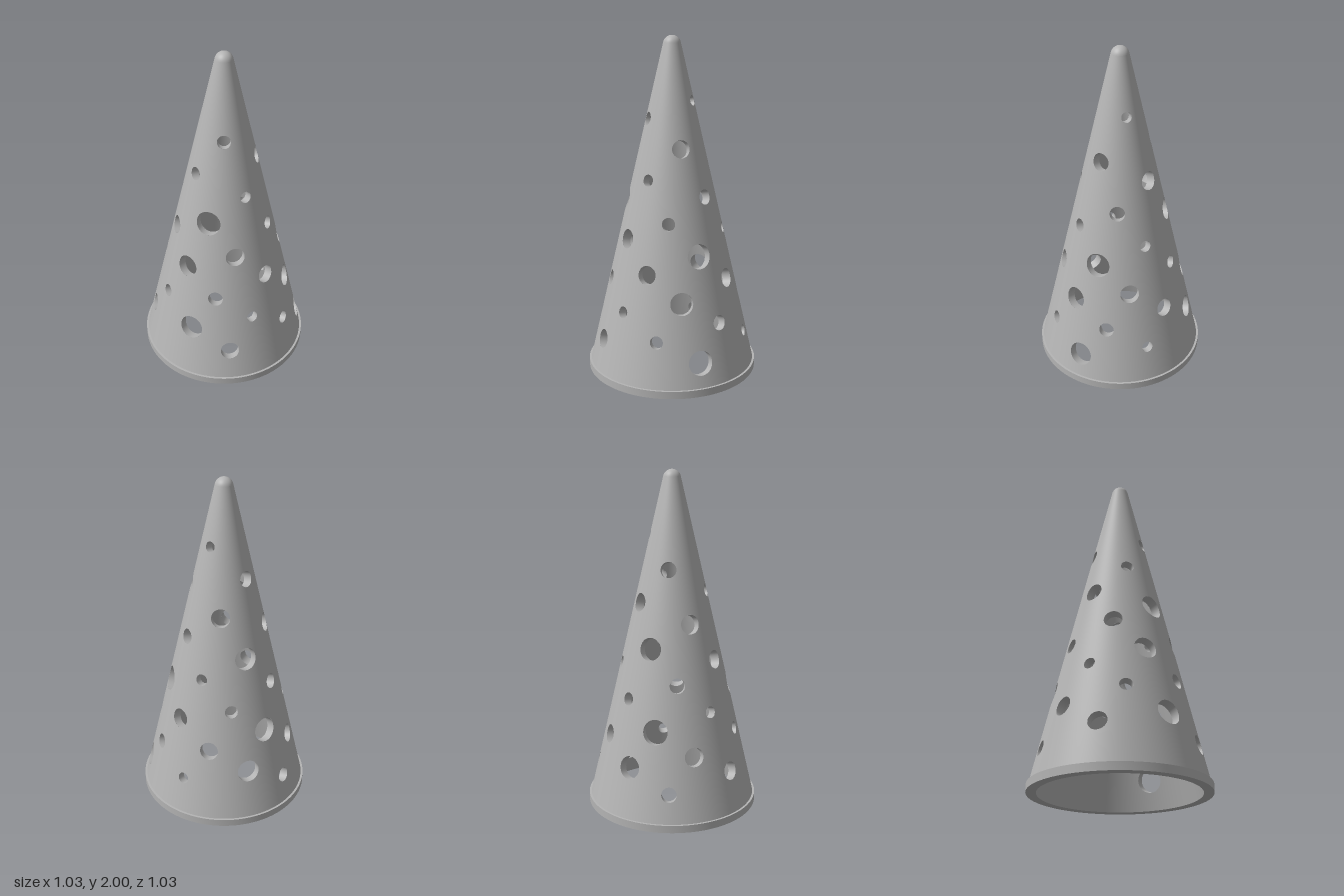
import * as THREE from 'three';
import { toCreasedNormals } from 'three/addons/utils/BufferGeometryUtils.js';

const BASE_Y = 0.045, TIP_Y = 1.96, SLOPE = 0.235, R0 = 0.5106, WALL = 0.055;
const COS = 1 / Math.hypot(1, SLOPE), SIN = SLOPE * COS;
const radiusAt = (y, inset) => Math.max(R0 - inset - SLOPE * y, 0);
const conePoint = (a, y, inset) => {
  const r = radiusAt(y, inset);
  return new THREE.Vector3(r * Math.cos(a), y, r * Math.sin(a));
};
const coneNormal = (a) => new THREE.Vector3(COS * Math.cos(a), SIN, COS * Math.sin(a));

// Holes spiral upward by the golden angle, evenly by area, in seven repeating sizes
const SIZES = [0.072, 0.044, 0.056, 0.034, 0.054, 0.038, 0.066];
const COUNT = 38;
const holes = Array.from({ length: COUNT }, (_, i) => {
  const k = 0.201, t = i / (COUNT - 1);
  const y = 2 - 1.815 * Math.sqrt(1 - t * (1 - k * k));
  const a = -i * Math.PI * (3 - Math.sqrt(5));
  const n = coneNormal(a);
  const u = new THREE.Vector3(-Math.sin(a), 0, Math.cos(a));
  return {
    center: conePoint(a, y, 0), n, u, w: n.clone().cross(u),
    radius: Math.min(SIZES[i % 7], 0.0825 * (2 - y)),
  };
});

// Signed distance to the nearest hole edge: negative inside a hole
function holeDistance(p) {
  let best = 1;
  for (const h of holes) {
    if (Math.abs(p.y - h.center.y) > 0.2 || p.x * h.n.x + p.z * h.n.z < 0) continue;
    const d = p.clone().sub(h.center);
    const along = d.dot(h.n);
    best = Math.min(best, Math.sqrt(Math.max(d.lengthSq() - along * along, 0)) - h.radius);
  }
  return best;
}

function buildGeometry(positions, normals) {
  const g = new THREE.BufferGeometry();
  g.setAttribute('position', new THREE.Float32BufferAttribute(positions, 3));
  g.setAttribute('normal', new THREE.Float32BufferAttribute(normals, 3));
  return g;
}

// Cone skin made of a fine grid, with its triangles clipped at the hole edges
function coneSkin(inset, y0, y1, inward) {
  const COLS = 216, ROWS = 110, positions = [], normals = [];
  const vertex = (a, y) => ({ a, y, f: holeDistance(conePoint(a, y, inset)) });
  const crossing = (p, q) => {
    let lo = p, hi = q, m = p;
    for (let i = 0; i < 5; i++) {
      const t = lo.f / (lo.f - hi.f);
      m = vertex(lo.a + (hi.a - lo.a) * t, lo.y + (hi.y - lo.y) * t);
      if (Math.abs(m.f) < 1e-6) break;
      if ((m.f >= 0) === (lo.f >= 0)) lo = m; else hi = m;
    }
    return m;
  };
  const emit = (v) => {
    const n = coneNormal(v.a).multiplyScalar(inward ? -1 : 1);
    positions.push(...conePoint(v.a, v.y, inset).toArray());
    normals.push(...n.toArray());
  };
  const clip = (tri) => {
    const poly = [];
    tri.forEach((p, i) => {
      const q = tri[(i + 1) % 3];
      if (p.f >= 0) poly.push(p);
      if ((p.f >= 0) !== (q.f >= 0)) poly.push(crossing(p, q));
    });
    if (inward) poly.reverse();
    for (let i = 1; i + 1 < poly.length; i++) [poly[0], poly[i], poly[i + 1]].forEach(emit);
  };
  const grid = [];
  for (let j = 0; j <= ROWS; j++) {
    grid.push([]);
    for (let i = 0; i <= COLS; i++) {
      grid[j].push(vertex((i / COLS) * Math.PI * 2, y0 + ((y1 - y0) * j) / ROWS));
    }
  }
  for (let j = 0; j < ROWS; j++) {
    for (let i = 0; i < COLS; i++) {
      const a = grid[j][i], b = grid[j + 1][i], c = grid[j][i + 1], d = grid[j + 1][i + 1];
      clip([a, b, c]);
      clip([b, d, c]);
    }
  }
  return buildGeometry(positions, normals);
}

// Bore of one hole, running square to the cone from outer to inner skin
function holeWall(h) {
  const SEG = 36, positions = [], normals = [];
  const ring = [];
  for (let k = 0; k <= SEG; k++) {
    const t = (k / SEG) * Math.PI * 2;
    const dir = h.u.clone().multiplyScalar(Math.cos(t)).addScaledVector(h.w, Math.sin(t));
    const meet = (inset) => {
      const p = h.center.clone().addScaledVector(dir, h.radius).addScaledVector(h.n, -inset);
      for (let i = 0; i < 15; i++) {
        p.addScaledVector(h.n, -(Math.hypot(p.x, p.z) - radiusAt(p.y, inset)) * COS);
      }
      return p;
    };
    ring.push({ outer: meet(0), inner: meet(WALL), normal: dir.clone().negate() });
  }
  for (let k = 0; k < SEG; k++) {
    const a = ring[k], b = ring[k + 1];
    const corners = [[a, 'inner'], [a, 'outer'], [b, 'inner'], [a, 'outer'], [b, 'outer'], [b, 'inner']];
    for (const [r, side] of corners) {
      positions.push(...r[side].toArray());
      normals.push(...r.normal.toArray());
    }
  }
  return buildGeometry(positions, normals);
}

export function createModel() {
  const model = new THREE.Group();
  model.name = 'perforatedCone';
  const grey = new THREE.MeshStandardMaterial({ color: 0xb4b4b4 });
  grey.name = 'plain grey';
  const add = (name, geometry, parent = model) => {
    const mesh = new THREE.Mesh(geometry, grey);
    mesh.name = name;
    parent.add(mesh);
  };

  // Pierced shell
  add('outerCone', coneSkin(0, BASE_Y, TIP_Y, false));
  add('innerCone', coneSkin(WALL, 0, (R0 - WALL) / SLOPE, true));
  const walls = new THREE.Group();
  walls.name = 'holeWalls';
  model.add(walls);
  holes.forEach((h) => add('holeWall', holeWall(h), walls));

  // Rounded tip, tangent to the cone
  const tipR = radiusAt(TIP_Y, 0) / COS, start = Math.atan(SLOPE);
  const tip = [];
  for (let i = 0; i <= 12; i++) {
    const t = start + (Math.PI / 2 - start) * (i / 12);
    tip.push(new THREE.Vector2(Math.max(tipR * Math.cos(t), 0), TIP_Y + tipR * (Math.sin(t) - SIN)));
  }
  add('roundedTip', new THREE.LatheGeometry(tip, 72));

  // Narrow rim around the open base
  const rim = [[R0 - WALL, 0], [0.513, 0], [0.513, BASE_Y], [radiusAt(BASE_Y, 0), BASE_Y]];
  const rimGeometry = new THREE.LatheGeometry(rim.map(([x, y]) => new THREE.Vector2(x, y)), 108);
  add('baseRim', toCreasedNormals(rimGeometry, 0.6));
  return model;
}
